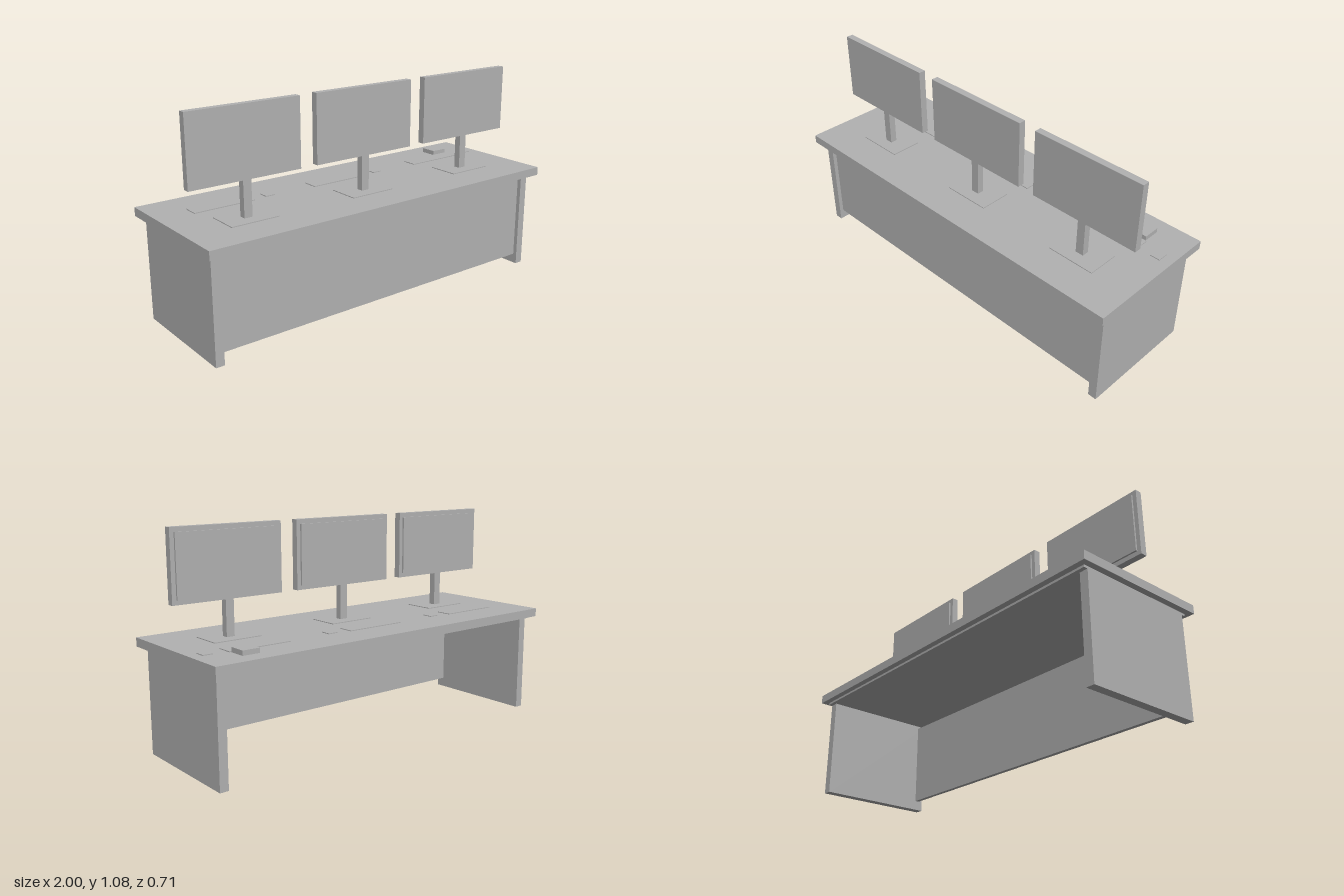
import * as THREE from 'three';

const grey = new THREE.MeshStandardMaterial({ color: 0xb2b2b2 });
grey.name = 'grey';

// Box given by its [min, max] range on each axis
function box(parent, name, [x0, x1], [y0, y1], [z0, z1]) {
  const mesh = new THREE.Mesh(new THREE.BoxGeometry(x1 - x0, y1 - y0, z1 - z0), grey);
  mesh.position.set((x0 + x1) / 2, (y0 + y1) / 2, (z0 + z1) / 2);
  mesh.name = name;
  parent.add(mesh);
  return mesh;
}

const TOP = 0.556; // height of the work surface
const THIN = TOP + 0.004; // top of the flat items lying on it

// One seat's equipment, with the screen facing the back of the desk
function workstation(name, x) {
  const g = new THREE.Group();
  g.name = name;
  g.position.x = x;
  box(g, 'monitorBase', [-0.123, 0.123], [TOP, THIN], [0.009, 0.172]);
  box(g, 'monitorPole', [-0.021, 0.021], [TOP, 0.735], [0.074, 0.109]);
  box(g, 'monitorCasing', [-0.288, 0.288], [0.735, 1.075], [0.074, 0.109]);
  box(g, 'monitorScreen', [-0.267, 0.267], [0.757, 1.053], [0.065, 0.074]);
  box(g, 'keyboard', [-0.16, 0.16], [TOP, THIN], [-0.174, -0.095]);
  box(g, 'mouse', [0.23, 0.28], [TOP, THIN], [-0.16, -0.108]);
  return g;
}

export function createModel() {
  const model = new THREE.Group();
  model.name = 'controlDesk';

  // Desk
  box(model, 'deskTop', [-1, 1], [0.513, TOP], [-0.353, 0.353]);
  box(model, 'underPlate', [-0.97, 0.97], [0.502, 0.513], [-0.323, 0.323]);
  box(model, 'rightLeg', [-0.97, -0.927], [0, 0.502], [-0.303, 0.303]);
  box(model, 'leftLeg', [0.927, 0.97], [0, 0.502], [-0.303, 0.303]);
  box(model, 'frontPanel', [-0.927, 0.927], [0.05, 0.488], [0.26, 0.282]);

  // Three equal workstations
  ['rightWorkstation', 'middleWorkstation', 'leftWorkstation'].forEach((name, i) => {
    model.add(workstation(name, (i - 1) * 0.667));
  });

  // Small device beside the left keyboard
  box(model, 'deskPhone', [0.733, 0.819], [TOP, 0.579], [-0.266, -0.18]);

  return model;
}
